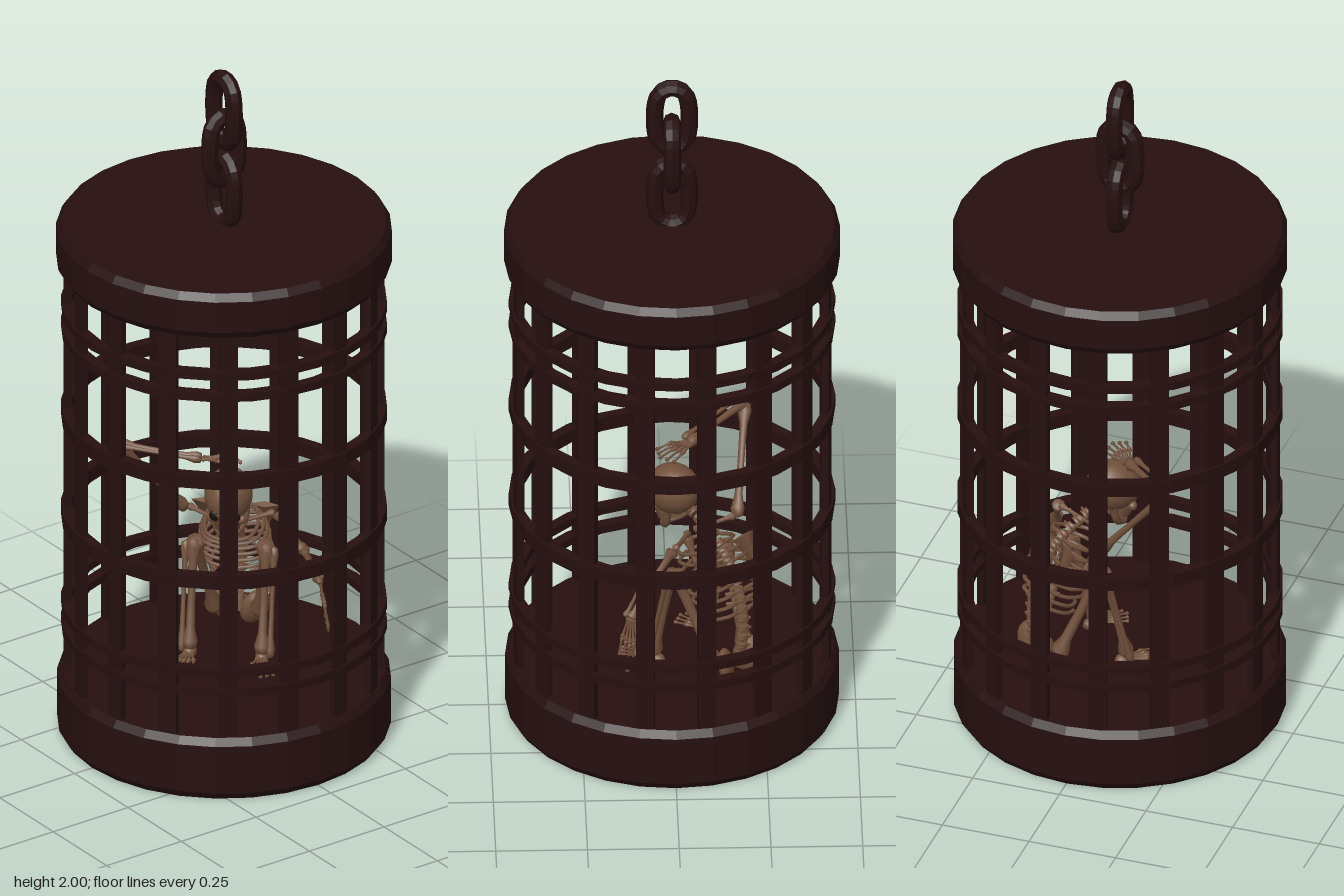
import * as THREE from 'three';

const iron = new THREE.MeshStandardMaterial({ color: 0x260f0f, flatShading: true });
iron.name = 'dark iron';
const boneMat = new THREE.MeshStandardMaterial({ color: 0x71503b });
boneMat.name = 'old bone';
const hollow = new THREE.MeshStandardMaterial({ color: 0x1c100c });
hollow.name = 'hollow';

const V = (x, y, z) => new THREE.Vector3(x, y, z);
const UP = V(0, 1, 0);
const SIDES = 28;

function add(parent, name, geometry, material) {
  const mesh = new THREE.Mesh(geometry, material);
  mesh.name = name;
  parent.add(mesh);
  return mesh;
}

function lathe(points, sides) {
  return new THREE.LatheGeometry(points.map(([r, y]) => new THREE.Vector2(r, y)), sides);
}

// Solid drum with bevelled rims
function drum(r, y0, y1) {
  const b = 0.014;
  return lathe([[0, y0], [r - b, y0], [r, y0 + b * 1.5], [r, y1 - b * 1.5], [r - b, y1], [0, y1]], SIDES);
}

// Flat hoop with a rectangular section
function hoop(inner, outer, y0, y1) {
  return lathe([[inner, y0], [outer, y0], [outer, y1], [inner, y1], [inner, y0]], SIDES);
}

function tube(points, r, steps, sides = 6, closed = false) {
  return new THREE.TubeGeometry(new THREE.CatmullRomCurve3(points, closed), steps, r, sides, closed);
}

// Long bone with knobbly ends, from a to b
function bone(parent, name, a, b, r) {
  const len = a.distanceTo(b);
  const profile = [[0, 0], [1.3, 0.02], [1.6, 0.08], [0.9, 0.2], [0.75, 0.5], [0.9, 0.8], [1.6, 0.92], [1.3, 0.98], [0, 1]];
  const mesh = add(parent, name, lathe(profile.map(([x, y]) => [x * r, y * len]), 8), boneMat);
  mesh.position.copy(a);
  mesh.quaternion.setFromUnitVectors(UP, b.clone().sub(a).normalize());
  return mesh;
}

// Two parallel bones, as in a forearm or shin
function bonePair(parent, name, a, b, r, gap) {
  bone(parent, name, a, b, r);
  bone(parent, name + 'Thin', a.clone().add(gap), b.clone().add(gap), r * 0.6);
}

// Five jointed digits fanning from a wrist or ankle
function digits(parent, name, start, dir, spread, length, droop) {
  const group = new THREE.Group();
  group.name = name;
  for (let i = -2; i <= 2; i++) {
    const k = length * (1 - Math.abs(i) * 0.09);
    const root = start.clone().addScaledVector(spread, i * 0.3);
    const mid = start.clone().addScaledVector(dir, k * 0.5).addScaledVector(spread, i * 0.8);
    const tip = start.clone().addScaledVector(dir, k).addScaledVector(spread, i * 1.1);
    tip.y -= droop;
    bone(group, 'palmBone', root, mid, 0.0045);
    bone(group, 'digitBone', mid, tip, 0.0038);
  }
  parent.add(group);
}

function buildCage(root) {
  const cage = new THREE.Group();
  cage.name = 'cage';
  root.add(cage);
  add(cage, 'base', drum(0.455, 0, 0.185), iron);
  add(cage, 'lid', drum(0.458, 1.41, 1.545), iron);

  // Upright flat bars
  for (let i = 0; i < 16; i++) {
    const a = (i + 0.5) * Math.PI / 8;
    const bar = add(cage, 'bar', new THREE.BoxGeometry(0.05, 1.26, 0.02), iron);
    bar.position.set(Math.sin(a) * 0.427, 0.8, Math.cos(a) * 0.427);
    bar.rotation.y = a;
  }

  // Horizontal hoops
  for (const [y, h] of [[0.322, 0.024], [0.383, 0.024], [0.66, 0.04], [0.965, 0.04], [1.225, 0.024], [1.29, 0.024]]) {
    add(cage, 'hoop', hoop(0.415, 0.445, y - h / 2, y + h / 2), iron);
  }
}

function buildChain(root) {
  const chain = new THREE.Group();
  chain.name = 'chain';
  root.add(chain);
  [1.64, 1.765, 1.88].forEach((y, i) => {
    const h = 0.096, w = 0.044;
    const path = [V(w, -0.05, 0), V(w, 0.05, 0), V(w * 0.7, 0.083, 0), V(0, h, 0), V(-w * 0.7, 0.083, 0),
      V(-w, 0.05, 0), V(-w, -0.05, 0), V(-w * 0.7, -0.083, 0), V(0, -h, 0), V(w * 0.7, -0.083, 0)];
    const link = add(chain, 'chainLink', tube(path, 0.024, 24, 8, true), iron);
    link.position.y = y;
    link.rotation.y = i === 1 ? Math.PI / 2 : 0;
  });
}

function buildSkull(parent) {
  const skull = new THREE.Group();
  skull.name = 'skull';
  skull.position.set(0.01, 0.7, -0.015);
  skull.rotation.x = 0.3;
  parent.add(skull);
  add(skull, 'cranium', new THREE.SphereGeometry(0.072, 16, 12), boneMat).scale.set(0.92, 1, 1.12);
  const face = add(skull, 'face', new THREE.CylinderGeometry(0.05, 0.036, 0.075, 10), boneMat);
  face.position.set(0, -0.045, 0.036);
  const jaw = add(skull, 'jaw', tube([V(-0.046, -0.045, -0.01), V(-0.038, -0.088, 0.02), V(0, -0.1, 0.066),
    V(0.038, -0.088, 0.02), V(0.046, -0.045, -0.01)], 0.011, 14), boneMat);
  jaw.scale.y = 1.03;
  for (const s of [-1, 1]) {
    const eye = add(skull, 'eyeSocket', new THREE.SphereGeometry(0.018, 10, 8), hollow);
    eye.position.set(s * 0.026, -0.018, 0.07);
    eye.scale.z = 0.5;
    const cheek = add(skull, 'cheekbone', new THREE.SphereGeometry(0.014, 8, 6), boneMat);
    cheek.position.set(s * 0.042, -0.042, 0.052);
  }
  const nose = add(skull, 'noseHole', new THREE.ConeGeometry(0.01, 0.024, 3), hollow);
  nose.position.set(0, -0.044, 0.081);
}

function buildTorso(parent) {
  const torso = new THREE.Group();
  torso.name = 'torso';
  parent.add(torso);
  const spine = new THREE.CatmullRomCurve3([V(0, 0.24, -0.25), V(0, 0.36, -0.265), V(0, 0.48, -0.245),
    V(0, 0.58, -0.18), V(0, 0.63, -0.11), V(0, 0.66, -0.05)]);

  // Stacked vertebrae
  for (let i = 0; i <= 18; i++) {
    const t = i / 18;
    const vertebra = add(torso, 'vertebra', new THREE.CylinderGeometry(0.015, 0.017, 0.02, 8), boneMat);
    vertebra.position.copy(spine.getPointAt(t));
    vertebra.quaternion.setFromUnitVectors(UP, spine.getTangentAt(t));
    const spur = add(vertebra, 'vertebraSpur', new THREE.BoxGeometry(0.04, 0.006, 0.012), boneMat);
    spur.position.z = -0.008;
  }

  // Mirrored ribs
  for (let i = 0; i < 8; i++) {
    const p = spine.getPointAt(0.33 + i * 0.055);
    const w = 0.062 + 0.034 * Math.sin((i + 1) / 9 * Math.PI);
    const reach = i < 2 ? 0.1 : 0.13;
    for (const s of [-1, 1]) {
      add(torso, 'rib', tube([p, V(s * w * 0.7, p.y + 0.005, p.z - 0.005), V(s * w, p.y - 0.02, p.z + 0.045),
        V(s * w * 0.8, p.y - 0.04, p.z + reach * 0.8), V(s * (i < 2 ? 0.045 : 0.01), p.y - 0.045, p.z + reach)],
      0.0058, 12, 5), boneMat);
    }
  }
  bone(torso, 'breastbone', V(0, 0.4, -0.13), V(0, 0.56, -0.055), 0.01);

  for (const s of [-1, 1]) {
    bone(torso, 'collarbone', V(s * 0.01, 0.58, -0.07), V(s * 0.12, 0.6, -0.125), 0.007);
    const blade = add(torso, 'shoulderBlade', new THREE.ConeGeometry(0.042, 0.1, 4), boneMat);
    blade.position.set(s * 0.08, 0.54, -0.215);
    blade.rotation.set(Math.PI + 0.45, 0, 0);
    blade.scale.z = 0.25;
    // Pelvis wing
    const wing = add(torso, 'pelvis', new THREE.SphereGeometry(0.05, 10, 8), boneMat);
    wing.position.set(s * 0.045, 0.245, -0.245);
    wing.rotation.set(0.2, s * 0.6, s * -0.4);
    wing.scale.set(0.9, 1.05, 0.4);
  }
}

function buildLimbs(parent) {
  const limbs = new THREE.Group();
  limbs.name = 'limbs';
  parent.add(limbs);

  // Bent legs with knees raised
  for (const s of [-1, 1]) {
    const hip = V(s * 0.06, 0.24, -0.22), knee = V(s * 0.1, 0.515, -0.1), ankle = V(s * 0.1, 0.21, -0.025);
    bone(limbs, 'thigh', hip, knee, 0.017);
    bonePair(limbs, 'shin', knee, ankle, 0.014, V(s * 0.022, -0.008, 0));
    const heel = add(limbs, 'heel', new THREE.SphereGeometry(0.02, 8, 6), boneMat);
    heel.position.set(s * 0.1, 0.202, -0.035);
    heel.scale.z = 1.5;
    digits(limbs, 'foot', V(s * 0.1, 0.205, -0.015), V(s * 0.15, -0.05, 1), V(0.016, 0, 0), 0.095, 0.005);
  }

  // Right arm raised, its hand resting on the head
  const elbowR = V(-0.29, 0.835, 0.0), wristR = V(-0.06, 0.808, -0.005);
  bone(limbs, 'rightUpperArm', V(-0.125, 0.59, -0.125), elbowR, 0.012);
  bonePair(limbs, 'rightForearm', elbowR, wristR, 0.011, V(0, 0.006, 0.022));
  digits(limbs, 'rightHand', wristR, V(1, 0.1, 0.05), V(0, 0.003, 0.015), 0.11, 0.012);

  // Left arm hanging outward
  const elbowL = V(0.25, 0.42, -0.085), wristL = V(0.265, 0.33, -0.09);
  bone(limbs, 'leftUpperArm', V(0.125, 0.6, -0.125), V(0.2, 0.5, -0.1), 0.012);
  bonePair(limbs, 'leftForearm', V(0.2, 0.51, -0.1), elbowL, 0.011, V(0.006, 0, 0.018));
  digits(limbs, 'leftHand', elbowL, wristL.clone().sub(elbowL).normalize(), V(0.004, 0, 0.014), 0.15, 0.01);
}

export function createModel() {
  const root = new THREE.Group();
  root.name = 'hangingCage';
  buildCage(root);
  buildChain(root);

  // Seated skeleton, facing diagonally forward
  const skeleton = new THREE.Group();
  skeleton.name = 'skeleton';
  skeleton.rotation.y = Math.PI / 4;
  root.add(skeleton);
  buildSkull(skeleton);
  buildTorso(skeleton);
  buildLimbs(skeleton);
  return root;
}
